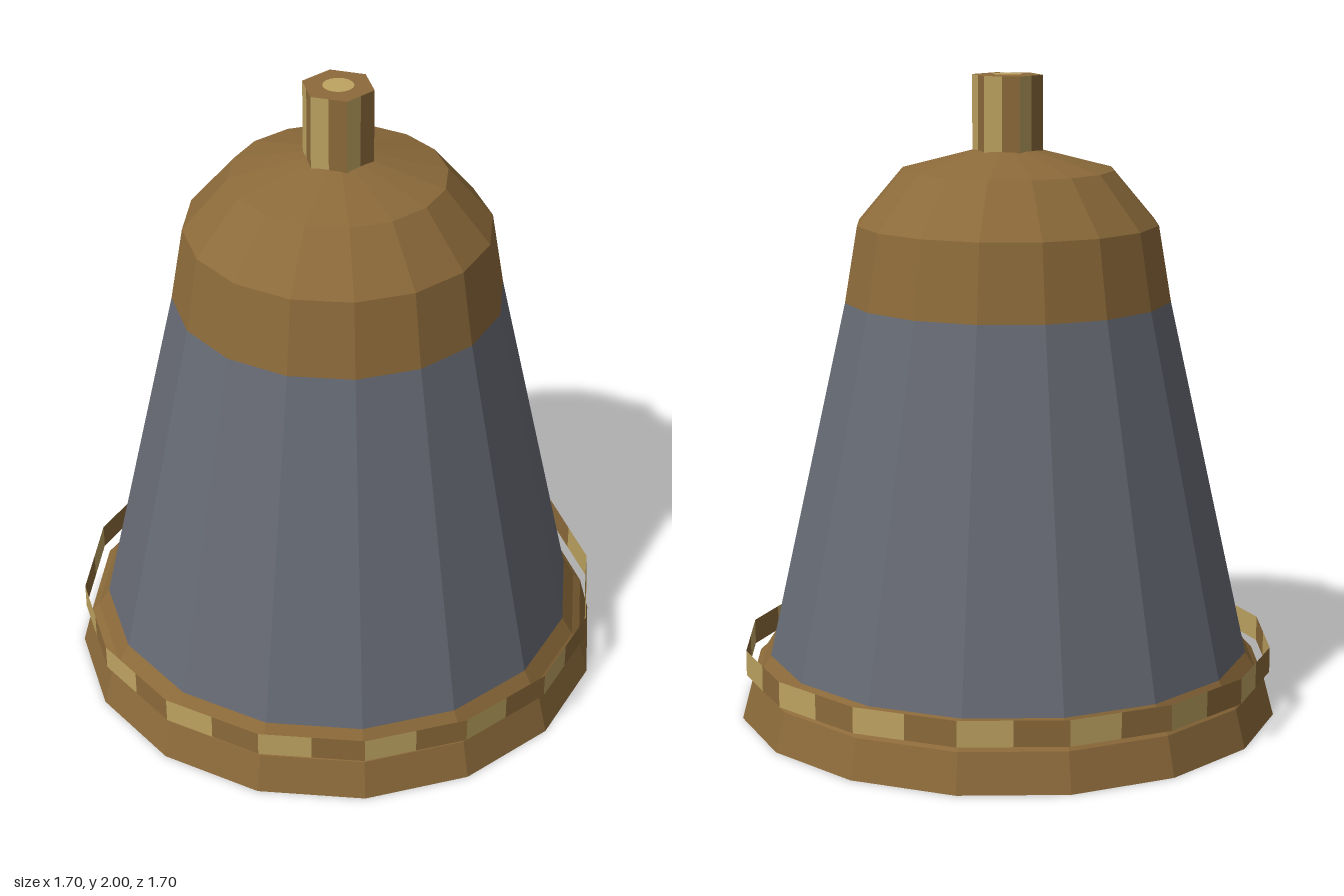
import * as THREE from 'three';

const SIDES = 16;

const brown = new THREE.MeshStandardMaterial({ color: 0x8c6a3a });
const grey = new THREE.MeshStandardMaterial({ color: 0x666a74 });
const gold = new THREE.MeshStandardMaterial({ color: 0xbea361 });
brown.name = 'bronzeBrown';
grey.name = 'steelGrey';
gold.name = 'paleGold';
// the studded band is an open strip, seen from both sides
brown.side = gold.side = THREE.DoubleSide;

function faceted(geometry) {
  const g = geometry.index ? geometry.toNonIndexed() : geometry;
  g.computeVertexNormals();
  return g;
}

function addMesh(parent, name, geometry, material) {
  const mesh = new THREE.Mesh(faceted(geometry), material);
  mesh.name = name;
  parent.add(mesh);
  return mesh;
}

// profile is [radius, height] pairs; rising profiles face outward
function turned(profile, sides = SIDES) {
  return new THREE.LatheGeometry(profile.map(([r, y]) => new THREE.Vector2(r, y)), sides);
}

// one half (0 = left, 1 = right) of every face of an upright prism
function halfFaces(radius, y0, y1, sides, start, half) {
  const positions = [];
  const step = (Math.PI * 2) / sides;
  for (let i = 0; i < sides; i++) {
    const corner = (k) => {
      const a = start + (i + k) * step;
      return new THREE.Vector2(Math.sin(a) * radius, Math.cos(a) * radius);
    };
    const a = corner(0), b = corner(1);
    const p = a.clone().lerp(b, half * 0.5);
    const q = a.clone().lerp(b, half * 0.5 + 0.5);
    positions.push(
      p.x, y0, p.y, q.x, y0, q.y, q.x, y1, q.y,
      p.x, y0, p.y, q.x, y1, q.y, p.x, y1, p.y
    );
  }
  const g = new THREE.BufferGeometry();
  g.setAttribute('position', new THREE.Float32BufferAttribute(positions, 3));
  return g;
}

export function createModel() {
  const bell = new THREE.Group();
  bell.name = 'bell';

  // outer shell
  addMesh(bell, 'crown', turned([[0.51, 1.31], [0.47, 1.545], [0.33, 1.71], [0.1, 1.77], [0, 1.77]]), brown);
  addMesh(bell, 'body', turned([[0.76, 0.2], [0.51, 1.31]]), grey);
  addMesh(bell, 'lip', turned([[0.82, 0], [0.852, 0], [0.82, 0.12], [0.795, 0.145], [0.76, 0.2]]), brown);

  // hollow inside
  addMesh(bell, 'innerLip', turned([[0.72, 0.2], [0.795, 0], [0.82, 0]]), grey);
  addMesh(bell, 'innerWall', turned([[0, 1.66], [0.3, 1.62], [0.43, 1.5], [0.48, 1.3], [0.72, 0.2]]), brown);

  // floating band with alternating plates
  const band = new THREE.Group();
  band.name = 'band';
  addMesh(band, 'bandGoldPlates', halfFaces(0.837, 0.14, 0.22, SIDES, 0, 0), gold);
  addMesh(band, 'bandBrownPlates', halfFaces(0.837, 0.14, 0.22, SIDES, 0, 1), brown);
  bell.add(band);

  // six-sided knob on top
  const knob = new THREE.Group();
  knob.name = 'knob';
  addMesh(knob, 'knobGoldFaces', halfFaces(0.11, 1.76, 1.998, 6, Math.PI / 6, 0), gold);
  addMesh(knob, 'knobBrownFaces', halfFaces(0.11, 1.76, 1.998, 6, Math.PI / 6, 1), brown);
  addMesh(knob, 'knobTop', new THREE.CircleGeometry(0.11, 6).rotateX(-Math.PI / 2), brown).position.y = 1.998;
  addMesh(knob, 'knobSpot', new THREE.CircleGeometry(0.047, 16).rotateX(-Math.PI / 2), gold).position.y = 2;
  bell.add(knob);

  // clapper hanging inside
  const clapper = new THREE.Group();
  clapper.name = 'clapper';
  addMesh(clapper, 'clapperRod', new THREE.CylinderGeometry(0.035, 0.035, 1.45, 6, 1, true), grey).position.y = 0.92;
  addMesh(clapper, 'clapperWeight',
    turned([[0, 0.02], [0.08, 0.02], [0.125, 0.07], [0.125, 0.17], [0.08, 0.22], [0, 0.22]], 8), grey);
  bell.add(clapper);

  return bell;
}
